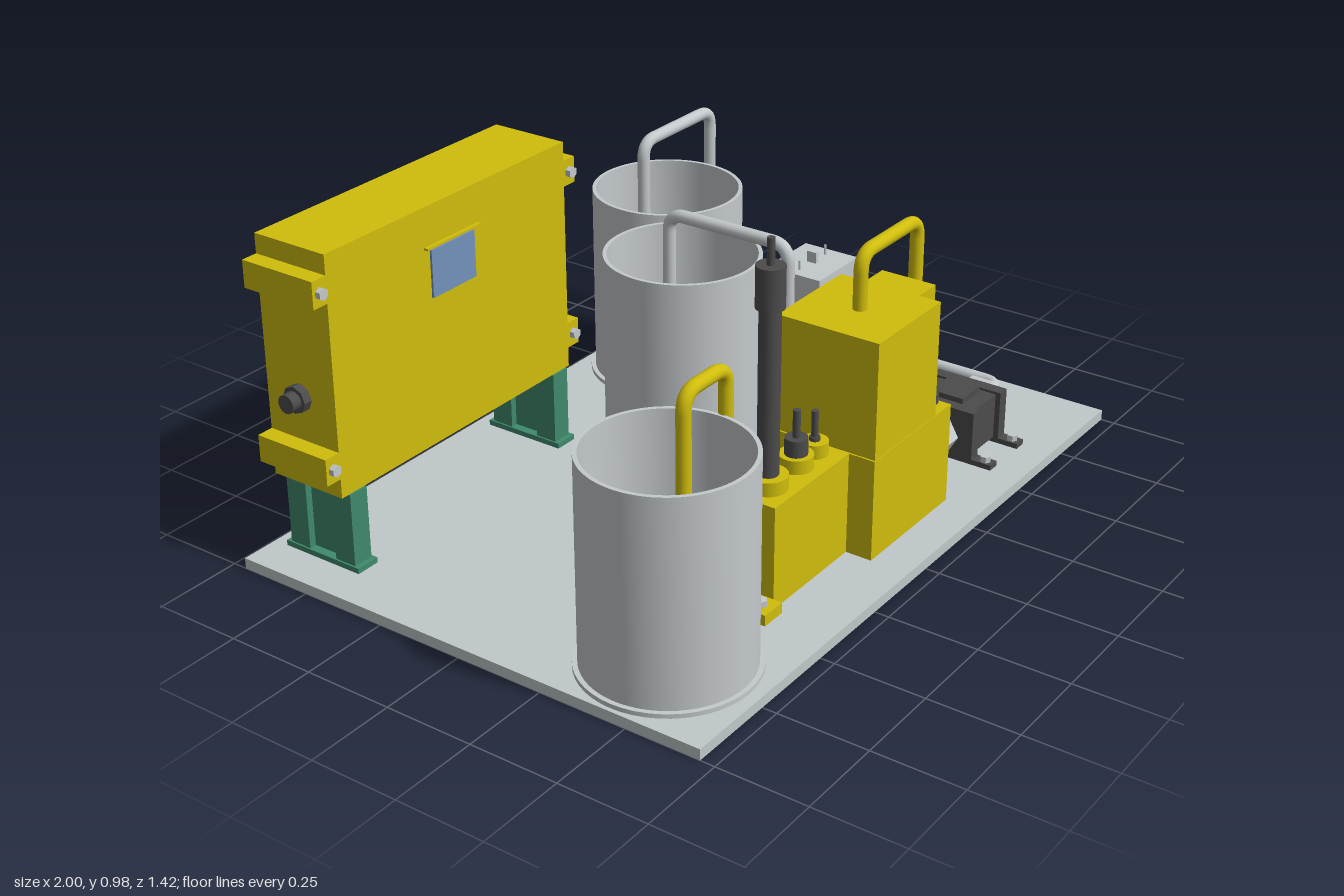
import * as THREE from 'three';
import { toCreasedNormals } from 'three/addons/utils/BufferGeometryUtils.js';

const mat = (name, color, side = THREE.FrontSide) => {
  const m = new THREE.MeshStandardMaterial({ color, side });
  m.name = name;
  return m;
};

export function createModel() {
  const root = new THREE.Group();
  root.name = 'processSkid';
  const yellow = mat('yellow', 0xd0bd0c, THREE.DoubleSide);
  const grey = mat('light grey', 0xc4c9cc, THREE.DoubleSide);
  const plate = mat('plate grey', 0xc0c8c9);
  const dark = mat('charcoal', 0x4c4c4c);
  const green = mat('green', 0x3f8a6c);
  const blue = mat('screen blue', 0x7392bd);

  const add = (name, geo, m, parent = root) => {
    const mesh = new THREE.Mesh(geo, m);
    mesh.name = name;
    parent.add(mesh);
    return mesh;
  };
  const group = (name, parent = root) => {
    const g = new THREE.Group();
    g.name = name;
    parent.add(g);
    return g;
  };
  // Box given by its extents
  const box = (name, m, x0, x1, y0, y1, z0, z1, parent) => {
    const b = add(name, new THREE.BoxGeometry(x1 - x0, y1 - y0, z1 - z0), m, parent);
    b.position.set((x0 + x1) / 2, (y0 + y1) / 2, (z0 + z1) / 2);
    return b;
  };
  // Cylinder centred on a point, along the chosen axis
  const rod = (name, m, r, len, x, y, z, axis = 'y', parent = root, sides = 24) => {
    let geo = new THREE.CylinderGeometry(r, r, len, sides);
    if (sides <= 8) geo = toCreasedNormals(geo, 0.5);
    if (axis === 'x') geo.rotateZ(-Math.PI / 2);
    if (axis === 'z') geo.rotateX(Math.PI / 2);
    const c = add(name, geo, m, parent);
    c.position.set(x, y, z);
    return c;
  };
  // Pipe through corner points with rounded bends
  const pipe = (name, m, pts, r = 0.018, bend = 0.05) => {
    const p = pts.map(a => new THREE.Vector3(...a));
    const path = new THREE.CurvePath();
    let from = p[0];
    for (let i = 1; i < p.length - 1; i++) {
      const a = p[i].clone().add(p[i - 1].clone().sub(p[i]).setLength(bend));
      const b = p[i].clone().add(p[i + 1].clone().sub(p[i]).setLength(bend));
      path.add(new THREE.LineCurve3(from, a));
      path.add(new THREE.QuadraticBezierCurve3(a, p[i], b));
      from = b;
    }
    path.add(new THREE.LineCurve3(from, p[p.length - 1]));
    add(name, new THREE.TubeGeometry(path, 160, r, 14, false), m);
  };
  const bolt = (x, y, z, parent, axis = 'y') => {
    rod('bolt', grey, 0.016, 0.018, x, y, z, axis, parent, 6);
  };

  // Base plate
  box('basePlate', plate, -1, 1, 0, 0.03, -0.71, 0.71);

  // Open tanks with a foot flange
  const ring = new THREE.Shape().absarc(0, 0, 0.216, 0, Math.PI * 2);
  ring.holes.push(new THREE.Path().absarc(0, 0, 0.205, 0, Math.PI * 2, true));
  const wall = toCreasedNormals(
    new THREE.ExtrudeGeometry(ring, { depth: 0.57, bevelEnabled: false, curveSegments: 48 }).rotateX(-Math.PI / 2), 0.6);
  for (const [x, z] of [[-0.76, 0.45], [0.166, -0.17], [0.524, -0.48]]) {
    const tank = group('openTank');
    add('tankWall', wall, grey, tank).position.set(x, 0.03, z);
    rod('tankFoot', grey, 0.229, 0.012, x, 0.036, z, 'y', tank, 48);
  }

  // Submerged pump in the front tank
  box('submergedPump', grey, -0.866, -0.66, 0.042, 0.14, 0.4, 0.505);
  rod('pumpCable', grey, 0.01, 0.08, -0.9, 0.09, 0.452, 'x');

  // Control cabinet
  const cab = group('controlCabinet');
  box('cabinetBody', yellow, -0.908, 0, 0.25, 0.91, -0.668, -0.44, cab);
  for (const [x0, x1] of [[-0.955, -0.908], [0, 0.045]]) {
    for (const y of [0.782, 0.305]) {
      box('mountingEar', yellow, x0, x1, y, y + 0.074, -0.668, -0.44, cab);
      bolt((x0 + x1) / 2, y + 0.037, -0.434, cab, 'z');
    }
  }
  box('screen', blue, -0.54, -0.375, 0.66, 0.79, -0.44, -0.434, cab);
  box('screenHood', yellow, -0.56, -0.355, 0.797, 0.803, -0.44, -0.428, cab);
  const sideGland = (s, x, y) => {
    rod('glandNut', dark, 0.037, 0.025, x + s * 0.012, y, -0.555, 'x', cab, 8);
    rod('glandCap', dark, 0.025, 0.03, x + s * 0.038, y, -0.555, 'x', cab);
  };
  for (const y of [0.67, 0.5]) {
    sideGland(1, 0, y);
    box('glandHood', yellow, 0, 0.035, y + 0.055, y + 0.062, -0.63, -0.49, cab);
  }
  sideGland(-1, -0.908, 0.5);
  for (const x of [-0.17, -0.345, -0.525, -0.71]) {
    rod('glandNut', dark, 0.037, 0.03, x, 0.235, -0.555, 'y', cab, 8);
    rod('glandCap', dark, 0.026, 0.035, x, 0.205, -0.555, 'y', cab);
  }

  // Cabinet legs: twin posts joined by a web, on foot plates
  for (const x of [-0.89, -0.08]) {
    const leg = group('cabinetLeg');
    box('legFoot', green, x, x + 0.07, 0.03, 0.045, -0.668, -0.42, leg);
    box('legWeb', green, x + 0.025, x + 0.045, 0.045, 0.25, -0.63, -0.46, leg);
    for (const z of [-0.655, -0.5]) box('legPost', green, x + 0.005, x + 0.065, 0.045, 0.25, z, z + 0.065, leg);
  }

  // Dosing unit
  const unit = group('dosingUnit');
  box('sensorBlock', yellow, -0.426, -0.09, 0.03, 0.316, 0.375, 0.525, unit);
  box('pumpHousing', yellow, -0.09, 0.293, 0.03, 0.316, 0.31, 0.6, unit);
  box('motorHousing', yellow, -0.085, 0.215, 0.316, 0.64, 0.3, 0.598, unit);
  box('motorTerminalBox', yellow, 0.215, 0.298, 0.36, 0.64, 0.375, 0.535, unit);
  box('terminalGland', dark, 0.215, 0.28, 0.316, 0.36, 0.39, 0.57, unit);
  box('leftFlange', yellow, -0.5, -0.426, 0.03, 0.06, 0.355, 0.55, unit);
  box('rightFlange', yellow, 0.293, 0.37, 0.03, 0.06, 0.355, 0.55, unit);
  for (const x of [-0.465, 0.335]) for (const z of [0.385, 0.515]) bolt(x, 0.068, z, unit);

  // Sensors: collar, then stacked stages of radius, bottom, top
  const sensor = (name, x, collar, stages) => {
    const g = group(name);
    rod('sensorCollar', yellow, collar, 0.038, x, 0.335, 0.452, 'y', g);
    for (const [r, y0, y1] of stages) rod('sensorStage', dark, r, y1 - y0, x, (y0 + y1) / 2, 0.452, 'y', g);
  };
  sensor('tallProbe', -0.348, 0.052, [[0.028, 0.32, 0.8], [0.037, 0.8, 0.91], [0.01, 0.91, 0.98]]);
  sensor('mediumProbe', -0.222, 0.045, [[0.03, 0.35, 0.4], [0.01, 0.4, 0.475]]);
  sensor('smallProbe', -0.137, 0.036, [[0.014, 0.35, 0.365], [0.009, 0.365, 0.437]]);

  // Dark flow meter with hex nuts
  const meter = group('flowMeter');
  box('meterBody', dark, 0.52, 0.665, 0.045, 0.178, 0.355, 0.545, meter);
  box('meterCap', dark, 0.545, 0.64, 0.178, 0.195, 0.4, 0.5, meter);
  for (const x of [0.5, 0.652]) {
    box('meterFoot', dark, x, x + 0.036, 0.03, 0.045, 0.275, 0.62, meter);
    box('meterEndPlate', dark, x, x + 0.036, 0.045, 0.185, 0.345, 0.56, meter);
    for (const z of [0.3, 0.595]) bolt(x + 0.018, 0.053, z, meter);
  }
  for (const x of [0.466, 0.722]) rod('meterNut', grey, 0.067, 0.066, x, 0.1, 0.45, 'x', meter, 6);

  // Valves, built along local x and then placed
  const valve = (name, x, z, turn) => {
    const g = group(name);
    box('actuator', grey, -0.092, 0.092, 0.175, 0.318, -0.106, 0.106, g);
    box('valveBody', grey, -0.085, 0.085, 0.03, 0.175, -0.066, 0.066, g);
    box('indicator', grey, -0.016, 0.016, 0.318, 0.352, -0.006, 0.006, g);
    for (const p of [-0.07, 0.07]) rod('pin', grey, 0.004, 0.03, 0, 0.333, p, 'y', g, 8);
    box('bracketPlate', grey, -0.12, -0.092, 0.03, 0.042, -0.134, 0.134, g);
    box('bracketUpright', grey, -0.104, -0.092, 0.03, 0.15, -0.08, 0.08, g);
    for (const p of [-0.115, 0.115]) bolt(-0.106, 0.05, p, g);
    for (const s of [-1, 1]) {
      rod('collar', grey, 0.05, 0.06, s * 0.115, 0.1, 0, 'x', g);
      rod('unionNut', grey, 0.065, 0.056, s * 0.158, 0.1, 0, 'x', g, 6);
    }
    g.position.set(x, 0, z);
    g.rotation.y = turn;
  };
  valve('middleValve', 0.47, 0.185, 0);
  valve('rearValve', 0.855, -0.19, Math.PI / 2);

  // Tee joint
  const tee = group('teeJoint');
  rod('teeRun', grey, 0.028, 0.08, 0.855, 0.1, 0.185, 'z', tee);
  rod('teeBranch', grey, 0.028, 0.06, 0.825, 0.1, 0.185, 'x', tee);

  // Pipework
  pipe('suctionPipe', yellow, [[-0.7, 0.14, 0.452], [-0.7, 0.72, 0.452], [-0.53, 0.72, 0.452], [-0.53, 0.085, 0.452], [-0.42, 0.085, 0.452]], 0.019);
  pipe('dischargePipe', yellow, [[0.062, 0.63, 0.452], [0.062, 0.79, 0.452], [0.338, 0.79, 0.452], [0.338, 0.102, 0.452], [0.44, 0.102, 0.452]], 0.019);
  pipe('meterOutletPipe', grey, [[0.74, 0.1, 0.45], [0.855, 0.1, 0.45], [0.855, 0.1, -0.02]]);
  pipe('branchPipe', grey, [[0.855, 0.1, 0.185], [0.62, 0.1, 0.185]]);
  pipe('middleTankPipe', grey, [[0.3, 0.1, 0.185], [0.14, 0.1, 0.185], [0.14, 0.718, 0.185], [0.14, 0.718, -0.195], [0.14, 0.2, -0.195]]);
  pipe('rearTankPipe', grey, [[0.855, 0.1, -0.36], [0.855, 0.1, -0.563], [0.855, 0.718, -0.563], [0.522, 0.718, -0.563], [0.522, 0.2, -0.563]]);

  return root;
}
